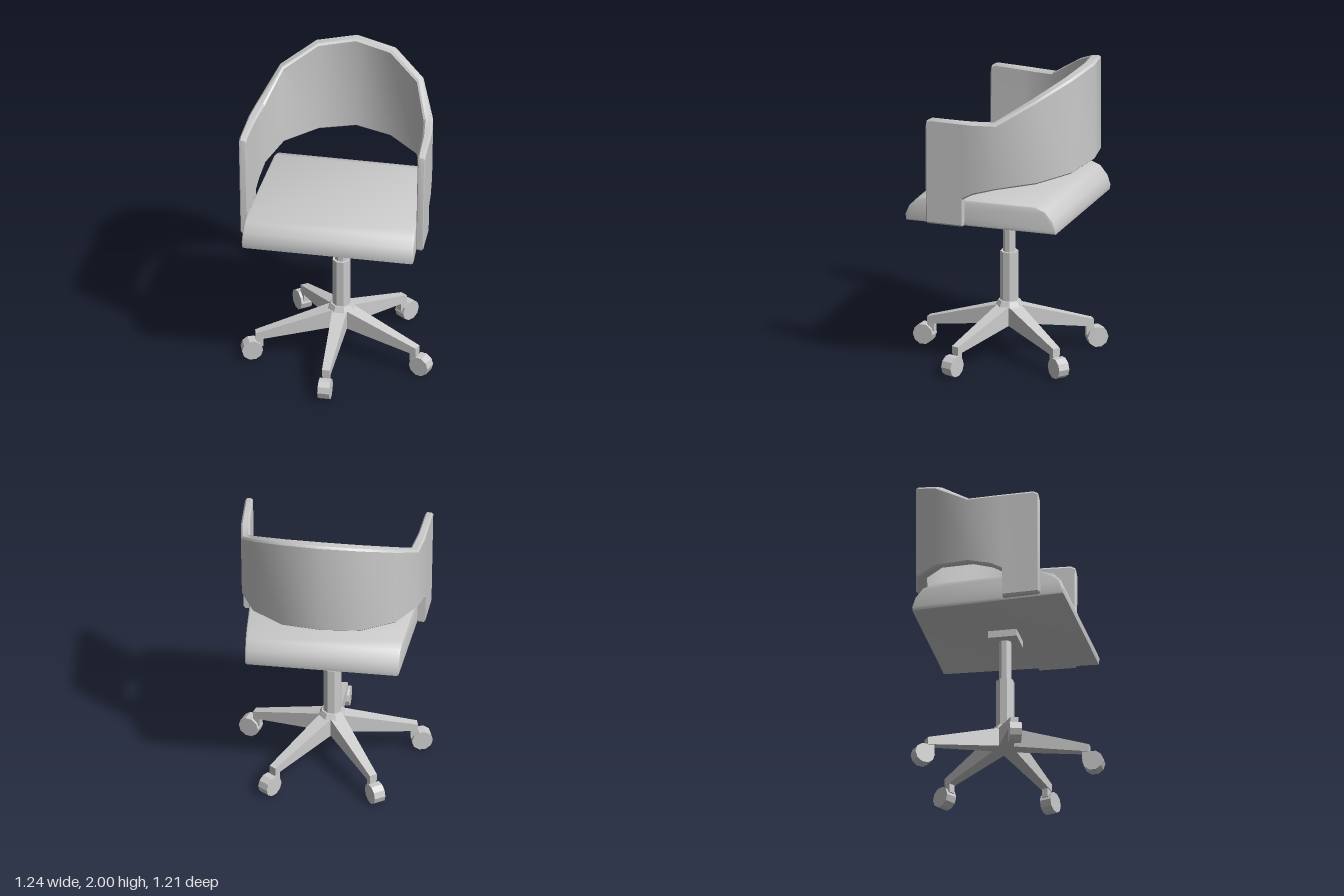
import * as THREE from 'three';
import { toCreasedNormals } from 'three/addons/utils/BufferGeometryUtils.js';

const BASE_Z = -0.03; // the pedestal sits slightly behind the centre
const smooth = new THREE.MeshStandardMaterial({ color: 0xcccccc });
const flat = new THREE.MeshStandardMaterial({ color: 0xcccccc, flatShading: true });

function add(parent, name, geometry, material, x = 0, y = 0, z = 0) {
  const mesh = new THREE.Mesh(geometry, material);
  mesh.name = name;
  mesh.position.set(x, y, z);
  parent.add(mesh);
  return mesh;
}

// Cushion: side profile (z, y) extruded across the width, narrowing to the back
function seatGeometry() {
  const profile = [[0.46, 1], [0.465, 1.04], [0.44, 1.1], [0.39, 1.15], [0.32, 1.175],
    [-0.39, 1.175], [-0.46, 1.15], [-0.51, 1.09], [-0.53, 1.03], [-0.525, 1]];
  const shape = new THREE.Shape(profile.map(([z, y]) => new THREE.Vector2(z, y)));
  const b = 0.015;
  const g = new THREE.ExtrudeGeometry(shape, {
    depth: 2 - 4 * b, bevelThickness: 2 * b, bevelSize: b, bevelOffset: -b, bevelSegments: 2,
  });
  g.translate(0, 0, -1 + 2 * b);
  g.rotateY(-Math.PI / 2);
  const p = g.attributes.position;
  for (let i = 0; i < p.count; i++) {
    p.setX(i, p.getX(i) * (0.49 + (p.getZ(i) + 0.53) * 0.062));
  }
  return toCreasedNormals(g, 0.7);
}

// Wraparound shell: bevelled cross-sections lofted from one arm round to the other
function shellGeometry() {
  // outer x, outer z, inner x, inner z, bottom, top
  const half = [
    [0.592, 0.31, 0.556, 0.31, 1.02, 1.66],
    [0.597, 0.302, 0.55, 0.302, 1.01, 1.695],
    [0.596, 0.275, 0.549, 0.275, 1.01, 1.71],
    [0.589, 0.072, 0.536, 0.072, 1.01, 1.71],
    [0.589, 0.07, 0.536, 0.07, 1.19, 1.71],
    [0.586, 0, 0.528, 0.01, 1.23, 1.71],
    [0.565, -0.155, 0.51, -0.12, 1.275, 1.715],
    [0.46, -0.39, 0.428, -0.335, 1.31, 1.865],
    [0.257, -0.55, 0.23, -0.485, 1.335, 1.967],
    [0, -0.605, 0, -0.532, 1.355, 2],
  ];
  const mirrored = half.slice(0, -1).reverse().map(([ox, oz, ix, iz, b, t]) => [-ox, oz, -ix, iz, b, t]);
  const stations = [...half, ...mirrored];
  // share of thickness from outer to inner, end (0 bottom, 1 top), inset from that end
  const section = [[0.2, 0, 0], [0, 0, 0.012], [0, 1, 0.012], [0.2, 1, 0],
    [0.8, 1, 0], [1, 1, 0.012], [1, 0, 0.012], [0.8, 0, 0]];
  const n = section.length;
  const pos = [];
  const idx = [];
  for (const [ox, oz, ix, iz, b, t] of stations) {
    for (const [k, end, inset] of section) {
      const y = end ? t - inset : b + inset;
      const lean = 1 - 0.02 * Math.max(0, 1.7 - y) / 0.7;
      pos.push((ox + (ix - ox) * k) * lean, y, oz + (iz - oz) * k);
    }
  }
  for (let i = 0; i < stations.length - 1; i++) {
    for (let j = 0; j < n; j++) {
      const a = i * n + j, b = i * n + (j + 1) % n;
      idx.push(a, a + n, b, b, a + n, b + n);
    }
  }
  const last = (stations.length - 1) * n;
  for (let j = 1; j < n - 1; j++) {
    idx.push(0, j, j + 1, last, last + j + 1, last + j);
  }
  const g = new THREE.BufferGeometry();
  g.setAttribute('position', new THREE.Float32BufferAttribute(pos, 3));
  g.setIndex(idx);
  return toCreasedNormals(g, 0.55);
}

// Leg: a box tapered in height and width towards its tip
function legGeometry() {
  const g = new THREE.BoxGeometry(1, 1, 1);
  const p = g.attributes.position;
  const mix = THREE.MathUtils.lerp;
  for (let i = 0; i < p.count; i++) {
    const t = p.getZ(i) + 0.5;
    const y = p.getY(i) > 0 ? mix(0.35, 0.185, t) : mix(0.215, 0.135, t);
    p.setXYZ(i, p.getX(i) * mix(0.1, 0.05, t), y, t * 0.545);
  }
  g.computeVertexNormals();
  return g;
}

export function createModel() {
  const model = new THREE.Group();
  model.name = 'swivelChair';
  add(model, 'seat', seatGeometry(), smooth);
  add(model, 'backAndArms', shellGeometry(), smooth);

  // Pedestal
  const base = new THREE.Group();
  base.name = 'base';
  base.position.z = BASE_Z;
  model.add(base);
  add(base, 'seatPlate', new THREE.BoxGeometry(0.186, 0.047, 0.186), flat, 0, 0.977, 0);
  const tube = (r1, r2, y0, y1) =>
    new THREE.CylinderGeometry(r1, r2, y1 - y0, 8).rotateY(Math.PI / 8).translate(0, (y0 + y1) / 2, 0);
  add(base, 'upperColumn', tube(0.04, 0.04, 0.67, 0.96), flat);
  add(base, 'lowerColumn', tube(0.058, 0.058, 0.34, 0.683), flat);
  add(base, 'hub', tube(0.07, 0.088, 0.325, 0.36), flat);

  // Five legs, each with a caster
  const leg = legGeometry();
  const wheel = new THREE.CylinderGeometry(0.067, 0.067, 0.076, 10).rotateZ(Math.PI / 2);
  const stem = new THREE.BoxGeometry(0.042, 0.1, 0.045);
  for (let i = 0; i < 5; i++) {
    const arm = new THREE.Group();
    arm.name = 'legWithCaster';
    arm.rotation.y = (i * Math.PI * 2) / 5;
    base.add(arm);
    add(arm, 'leg', leg, flat);
    add(arm, 'casterStem', stem, flat, 0, 0.135, 0.522);
    add(arm, 'casterWheel', wheel, flat, 0, 0.066, 0.57);
  }
  return model;
}
